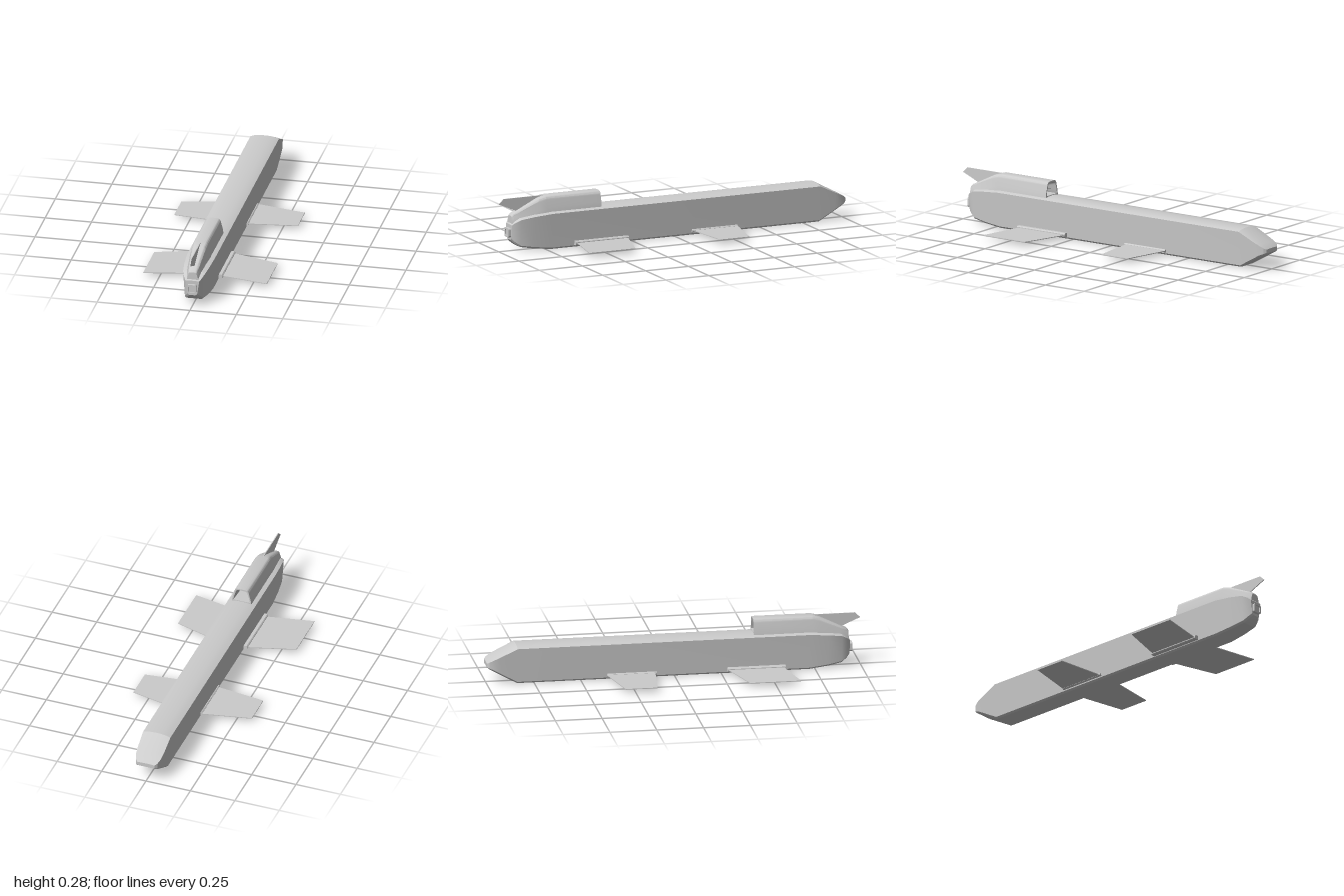
import * as THREE from 'three';
import { toCreasedNormals } from 'three/addons/utils/BufferGeometryUtils.js';

const material = new THREE.MeshStandardMaterial({ color: 0xcccccc, side: THREE.DoubleSide });

// Skin a row of rings {z, pts}; each ring runs counter-clockwise seen from +z.
function loft(rings, crease = 0.4) {
  const pos = [];
  const put = (r, j) => pos.push(...r.pts[j % r.pts.length], r.z);
  const n = rings[0].pts.length;
  for (let i = 0; i + 1 < rings.length; i++) {
    const a = rings[i], b = rings[i + 1];
    for (let j = 0; j < n; j++) {
      put(a, j); put(a, j + 1); put(b, j + 1);
      put(a, j); put(b, j + 1); put(b, j);
    }
  }
  const first = rings[0], last = rings[rings.length - 1];
  for (let j = 1; j + 1 < n; j++) {
    put(first, 0); put(first, j + 1); put(first, j);
    put(last, 0); put(last, j); put(last, j + 1);
  }
  const geo = new THREE.BufferGeometry();
  geo.setAttribute('position', new THREE.Float32BufferAttribute(pos, 3));
  return toCreasedNormals(geo, crease);
}

// Close a right-hand half outline (bottom to top) by mirroring it in x.
const mirrored = (half) =>
  [...half, ...half.filter((p) => p[0] > 0).reverse().map(([x, y]) => [-x, y])];

function add(parent, name, geo) {
  const mesh = new THREE.Mesh(geo, material);
  mesh.name = name;
  parent.add(mesh);
  return mesh;
}

// Fuselage ring: narrow bottom, wide shoulders, gently crowned top
function hullRing([z, bottomW, bottom, topW, top, crown]) {
  const c = Math.min(0.009, (top - bottom) * 0.15);
  return {
    z,
    pts: mirrored([
      [bottomW - c, bottom], [bottomW, bottom + c], [topW, top - crown],
      [topW * 0.75, top - crown * 0.45], [topW * 0.4, top - crown * 0.12], [0, top],
    ]),
  };
}

// Engine housing ring: flared foot, sloping sides, rounded shoulders
function housingRing([z, footW, foot, topW, top]) {
  const h = top - foot, r = Math.min(topW * 0.5, h * 0.3);
  const half = [[footW, foot], [topW + (footW - topW) * 0.72, foot + h * 0.32]];
  for (let i = 0; i <= 4; i++) {
    const a = (i / 4) * Math.PI / 2;
    half.push([topW - r + r * Math.cos(a), top - r + r * Math.sin(a)]);
  }
  return { z, pts: mirrored(half) };
}

function roundedSquare(s, r) {
  const sh = new THREE.Shape();
  sh.moveTo(-s + r, -s);
  [[1, -1, 0], [1, 1, 1], [-1, 1, 2], [-1, -1, 3]].forEach(([x, y, k]) =>
    sh.absarc(x * (s - r), y * (s - r), r, (k - 1) * Math.PI / 2, k * Math.PI / 2));
  return sh;
}

// Thin plate from an outline of [u, v] points, centred on its thickness
function plate(points, thickness) {
  const shape = new THREE.Shape(points.map(([u, v]) => new THREE.Vector2(u, v)));
  return new THREE.ExtrudeGeometry(shape, { depth: thickness, bevelEnabled: false })
    .translate(0, 0, -thickness / 2);
}

export function createModel() {
  const model = new THREE.Group();
  model.name = 'cruiseMissile';

  // Fuselage from the chisel nose (-z) to the tapered tail (+z)
  add(model, 'fuselage', loft([
    [-1.0, 0.048, 0.094, 0.048, 0.116, 0.002],
    [-0.988, 0.06, 0.085, 0.061, 0.126, 0.003],
    [-0.965, 0.067, 0.073, 0.07, 0.14, 0.004],
    [-0.93, 0.067, 0.053, 0.074, 0.158, 0.006],
    [-0.84, 0.064, 0.002, 0.077, 0.207, 0.012],
    [0.72, 0.064, 0.002, 0.077, 0.207, 0.012],
    [0.82, 0.058, 0.013, 0.07, 0.198, 0.012],
    [0.895, 0.05, 0.026, 0.06, 0.185, 0.01],
    [0.925, 0.038, 0.048, 0.048, 0.165, 0.006],
    [0.94, 0.026, 0.064, 0.037, 0.147, 0.002],
  ].map(hullRing)));

  // Dorsal engine housing: starts inside the intake duct, wraps round its lip
  add(model, 'engineHousing', loft([
    [0.56, 0.04, 0.21, 0.026, 0.235],
    [0.425, 0.046, 0.21, 0.034, 0.277],
    [0.425, 0.055, 0.2, 0.041, 0.285],
    [0.74, 0.055, 0.195, 0.041, 0.285],
    [0.78, 0.053, 0.185, 0.038, 0.274],
    [0.89, 0.044, 0.165, 0.029, 0.22],
    [0.925, 0.034, 0.15, 0.025, 0.203],
    [0.935, 0.03, 0.15, 0.022, 0.192],
  ].map(housingRing)));

  // Upright tail fin
  add(model, 'tailFin', plate(
    [[0.74, 0.284], [0.74, 0.25], [0.9, 0.214], [1.0, 0.257], [0.972, 0.284]], 0.005,
  ).rotateY(-Math.PI / 2));

  // Tail connector: rounded square collar with a plug inside
  const collar = roundedSquare(0.025, 0.01);
  collar.holes.push(roundedSquare(0.017, 0.007));
  add(model, 'tailCollar', new THREE.ExtrudeGeometry(collar,
    { depth: 0.02, bevelEnabled: false, curveSegments: 5 })).position.set(0, 0.103, 0.935);
  add(model, 'tailPlug', new THREE.ExtrudeGeometry(roundedSquare(0.017, 0.007),
    { depth: 0.014, bevelEnabled: false, curveSegments: 5 })).position.set(0, 0.103, 0.935);

  // Wings and their root fairings, mirrored left and right
  const wings = [
    { name: 'foreWing', outline: [[0.06, -0.363], [0.333, -0.305], [0.333, -0.135], [0.06, -0.103]],
      z0: -0.36, z1: -0.095, out: 0.074, h: 0.016 },
    { name: 'aftWing', outline: [[0.06, 0.278], [0.333, 0.36], [0.333, 0.63], [0.06, 0.576]],
      z0: 0.28, z1: 0.59, out: 0.087, h: 0.022 },
  ];
  for (const side of [1, -1]) {
    for (const w of wings) {
      const group = new THREE.Group();
      group.name = (side > 0 ? 'left' : 'right') + w.name[0].toUpperCase() + w.name.slice(1);
      add(group, 'wingPanel', plate(w.outline.map(([x, z]) => [x * side, z]), 0.004)
        .rotateX(Math.PI / 2)).position.y = 0.025;
      const k = 0.005, hh = w.h / 2;
      const fairing = [[0.055, -hh], [w.out - k, -hh], [w.out, -hh + k],
        [w.out, hh - k], [w.out - k, hh], [0.055, hh]];
      add(group, 'rootFairing', plate(fairing.map(([x, y]) => [x * side, y]), w.z1 - w.z0))
        .position.set(0, 0.025, (w.z0 + w.z1) / 2);
      model.add(group);
    }
  }
  return model;
}
